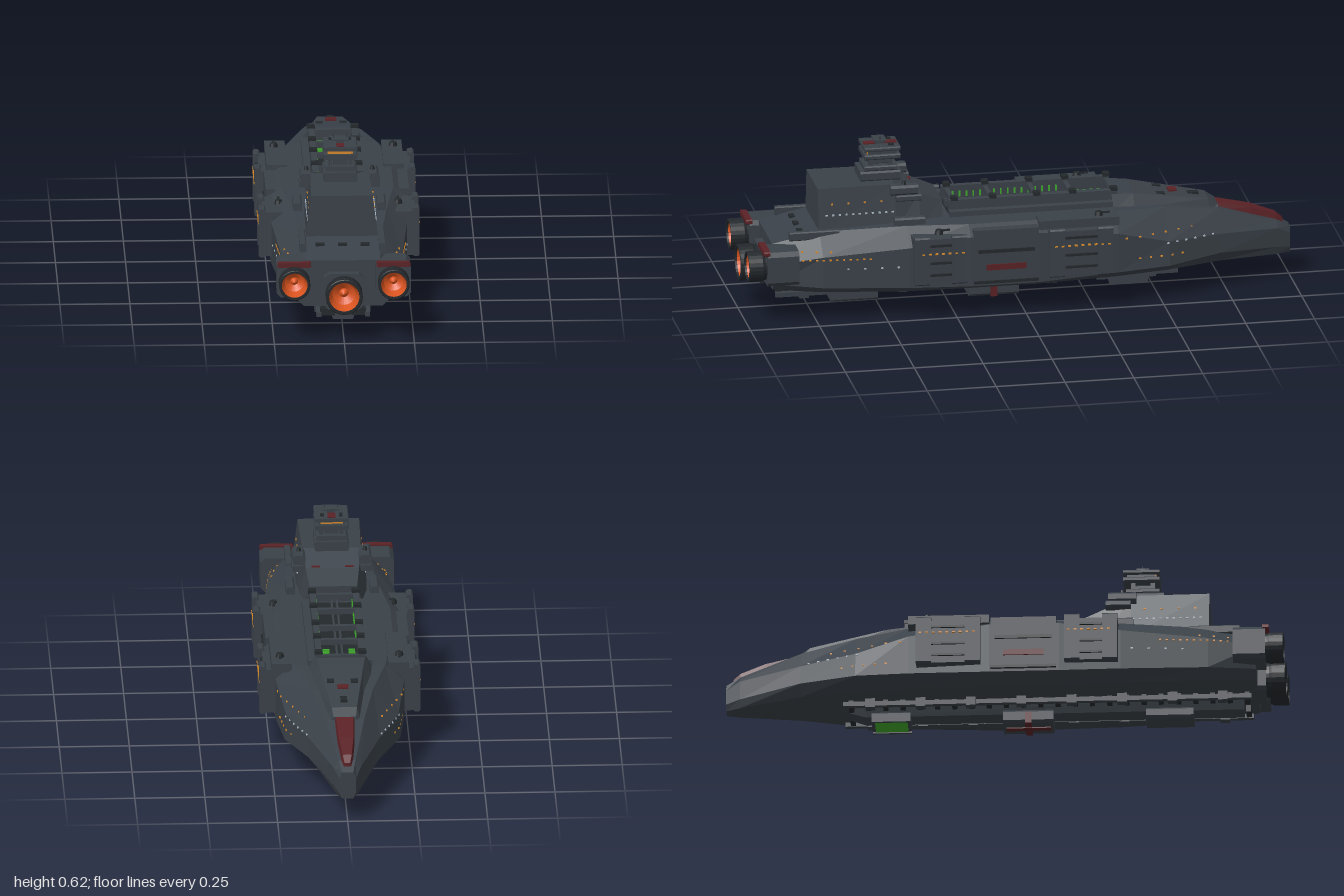
import * as THREE from 'three';

const mat = (name, color, side = THREE.FrontSide) =>
  Object.assign(new THREE.MeshStandardMaterial({ color, side, flatShading: true }), { name });

export function createModel() {
  const ship = new THREE.Group();
  ship.name = 'ship';
  const M = {
    hull: mat('hull grey', 0x3a4148),
    dark: mat('dark metal', 0x23282c, THREE.DoubleSide),
    red: mat('dull red', 0x5a2226),
    orange: mat('engine glow', 0xd9531f, THREE.DoubleSide),
    amber: mat('amber window', 0xd98a2b),
    pale: mat('pale window', 0xa9b8c4),
    green: mat('green light', 0x3fa82c),
  };

  const add = (name, geo, m, x = 0, y = 0, z = 0) => {
    const mesh = new THREE.Mesh(geo, m);
    mesh.name = name;
    mesh.position.set(x, y, z);
    ship.add(mesh);
    return mesh;
  };
  // box given by its limits on each axis
  const box = (name, m, x0, x1, y0, y1, z0, z1) =>
    add(name, new THREE.BoxGeometry(x1 - x0, y1 - y0, z1 - z0), m, (x0 + x1) / 2, (y0 + y1) / 2, (z0 + z1) / 2);
  const boxes = (name, m, x0, x1, ...r) => {
    box(name, m, x0, x1, ...r);
    box(name, m, -x1, -x0, ...r);
  };
  // mirrored sections [z, x,y, x,y ...] from high z to low z, right half listed bottom to top
  const loft = (name, m, sections, x = 0, y = 0, z = 0) => {
    const rings = sections.map(([sz, ...p]) => {
      const half = [];
      for (let i = 0; i < p.length; i += 2) half.push([p[i], p[i + 1], sz]);
      return [...half, ...half.slice().reverse().map(([a, b, c]) => [-a, b, c])];
    });
    const pos = [];
    const tri = (...pts) => pts.forEach(q => pos.push(...q));
    const n = rings[0].length, last = rings[rings.length - 1];
    for (let i = 0; i + 1 < rings.length; i++) for (let j = 0; j < n; j++) {
      const a = rings[i][j], b = rings[i][(j + 1) % n], c = rings[i + 1][(j + 1) % n], d = rings[i + 1][j];
      tri(a, d, c);
      tri(a, c, b);
    }
    for (let j = 1; j + 1 < n; j++) {
      tri(rings[0][0], rings[0][j], rings[0][j + 1]);
      tri(last[0], last[j + 1], last[j]);
    }
    const g = new THREE.BufferGeometry();
    g.setAttribute('position', new THREE.Float32BufferAttribute(pos, 3));
    g.computeVertexNormals();
    return add(name, g, m, x, y, z);
  };
  // block with chamfered long edges, centred on x, y
  const block = (name, m, x, y, w, h, c, z0, z1) => {
    const p = [w - c, -h, w, c - h, w, h - c, w - c, h];
    return loft(name, m, [[z1, ...p], [z0, ...p]], x, y);
  };

  // main hull: bottom edge, chine, shoulder, deck edge
  const hull = [
    [0.90, 0.14, 0.11, 0.17, 0.14, 0.19, 0.22, 0.13, 0.28],
    [0.73, 0.17, 0.10, 0.215, 0.13, 0.215, 0.245, 0.14, 0.318],
    [0.42, 0.19, 0.09, 0.242, 0.12, 0.242, 0.27, 0.17, 0.33],
    [0.20, 0.19, 0.088, 0.25, 0.115, 0.25, 0.30, 0.20, 0.333],
    [-0.05, 0.19, 0.088, 0.25, 0.115, 0.25, 0.30, 0.20, 0.333],
    [-0.34, 0.17, 0.09, 0.228, 0.125, 0.228, 0.27, 0.16, 0.333],
    [-0.53, 0.15, 0.095, 0.207, 0.13, 0.20, 0.22, 0.11, 0.32],
    [-0.73, 0.10, 0.10, 0.13, 0.14, 0.125, 0.21, 0.07, 0.285],
    [-0.95, 0.04, 0.09, 0.05, 0.12, 0.05, 0.19, 0.03, 0.215],
    [-1.00, 0.02, 0.088, 0.03, 0.11, 0.03, 0.165, 0.02, 0.188],
  ];
  loft('hull', M.hull, hull);
  // half width of the hull at a height and length
  const hullX = (y, z) => {
    const i = Math.max(0, hull.findIndex((s, k) => k < hull.length - 1 && hull[k + 1][0] <= z));
    const t = (hull[i][0] - z) / (hull[i][0] - hull[i + 1][0]);
    const s = hull[i].map((v, k) => v + (hull[i + 1][k] - v) * t);
    let k = 1;
    while (k < 5 && y > s[k + 3]) k += 2;
    return s[k] + (s[k + 2] - s[k]) * (y - s[k + 1]) / (s[k + 3] - s[k + 1]);
  };

  // nose crest and forward deck
  loft('noseCrest', M.red, [
    [-0.72, 0.04, 0.27, 0.032, 0.298], [-0.86, 0.032, 0.235, 0.026, 0.268],
    [-0.95, 0.024, 0.20, 0.016, 0.236], [-0.975, 0.016, 0.19, 0.01, 0.215]]);
  loft('foredeck', M.hull, [
    [-0.34, 0.12, 0.32, 0.09, 0.372], [-0.42, 0.11, 0.32, 0.08, 0.368], [-0.70, 0.065, 0.27, 0.045, 0.318], [-0.735, 0.06, 0.27, 0.04, 0.295]]);
  box('foredeckHatch', M.red, -0.02, 0.02, 0.344, 0.35, -0.59, -0.56);
  boxes('foredeckFitting', M.dark, 0.03, 0.055, 0.33, 0.352, -0.54, -0.51);
  box('foredeckSensor', M.dark, -0.012, 0.012, 0.31, 0.333, -0.67, -0.63);

  // open flight bay with side rails, beams and lights
  boxes('bayRail', M.hull, 0.066, 0.088, 0.333, 0.387, -0.36, 0.25);
  boxes('bayLedge', M.hull, 0.088, 0.115, 0.33, 0.352, -0.34, 0.25);
  box('bayFloor', M.dark, -0.066, 0.066, 0.332, 0.338, -0.34, 0.25);
  boxes('baySpine', M.hull, 0.006, 0.013, 0.338, 0.36, -0.36, 0.25);
  for (const z of [-0.35, -0.2, -0.07, 0.09, 0.23]) {
    box('bayBeam', M.hull, -0.07, 0.07, 0.36, 0.38, z - 0.008, z + 0.008);
    boxes('bayBracket', M.dark, 0.064, 0.092, 0.385, 0.398, z - 0.012, z + 0.012);
  }
  for (let i = 0; i < 5; i++)
    boxes('bayFloorLight', M.green, 0.034, 0.058, 0.338, 0.346, -0.323 + i * 0.025, -0.313 + i * 0.025);
  for (let i = 0; i < 16; i++)
    boxes('bayWallLight', M.green, 0.062, 0.067, 0.345, 0.366, -0.17 + i * 0.025, -0.164 + i * 0.025);

  // superstructure
  loft('superstructure', M.hull, [
    [0.73, 0.13, 0.30, 0.11, 0.468], [0.45, 0.13, 0.30, 0.105, 0.468],
    [0.36, 0.125, 0.30, 0.095, 0.425], [0.275, 0.11, 0.30, 0.085, 0.39]]);
  for (const s of [-1, 1]) {
    block('sideTurretUpper', M.hull, s * 0.118, 0.452, 0.022, 0.018, 0.008, 0.37, 0.47);
    block('sideTurretLower', M.hull, s * 0.122, 0.424, 0.022, 0.011, 0.004, 0.36, 0.45);
    add('sideTurretGun', new THREE.CylinderGeometry(0.006, 0.009, 0.014, 8), M.dark, s * 0.118, 0.476, 0.42);
    block('aftStrut', M.hull, s * 0.15, 0.335, 0.016, 0.022, 0.006, 0.35, 0.46);
    block('aftPipe', M.hull, s * 0.142, 0.308, 0.012, 0.016, 0.004, 0.66, 0.84);
  }
  boxes('frontMarking', M.red, 0.045, 0.075, 0.425, 0.431, 0.365, 0.373);

  // bridge tower
  block('towerBase', M.hull, 0, 0.485, 0.061, 0.018, 0.006, 0.42, 0.565);
  block('towerStep', M.hull, 0, 0.512, 0.055, 0.009, 0.004, 0.43, 0.55);
  block('towerNeck', M.hull, 0, 0.533, 0.025, 0.014, 0.004, 0.455, 0.53);
  for (const z of [0.455, 0.525]) boxes('towerColumn', M.hull, 0.03, 0.043, 0.52, 0.547, z - 0.008, z + 0.008);
  block('bridgeFloor', M.hull, 0, 0.556, 0.061, 0.009, 0.004, 0.42, 0.55);
  box('bridgeWindow', M.amber, -0.045, 0.045, 0.564, 0.58, 0.438, 0.538);
  boxes('bridgeWindowPost', M.hull, 0.04, 0.047, 0.564, 0.58, 0.432, 0.535);
  block('bridgeRoof', M.hull, 0, 0.585, 0.061, 0.007, 0.003, 0.42, 0.55);
  box('roofStripe', M.red, -0.014, 0.014, 0.591, 0.596, 0.425, 0.545);
  box('sensorNeck', M.hull, -0.014, 0.014, 0.59, 0.605, 0.47, 0.505);
  box('sensorBar', M.hull, -0.031, 0.031, 0.604, 0.61, 0.465, 0.51);
  boxes('antenna', M.dark, 0.021, 0.0235, 0.608, 0.622, 0.486, 0.489);
  boxes('roofPod', M.dark, 0.027, 0.04, 0.59, 0.598, 0.44, 0.46);

  // armour pods, decks above them and midship panels
  const pod = (z0, z1) => {
    boxes('podBlock', M.hull, 0.2, 0.272, 0.145, 0.308, z0, z1);
    for (const z of [z0, z1 - 0.055]) for (const s of [-1, 1])
      block('podPlate', M.hull, s * 0.275, 0.23, 0.012, 0.09, 0.005, z, z + 0.055);
    for (const y of [0.17, 0.215, 0.28]) boxes('podRib', M.dark, 0.27, 0.279, y, y + 0.008, z0 + 0.055, z1 - 0.055);
    for (let z = z0 + 0.01; z < z1 - 0.02; z += 0.024)
      boxes('podWindow', M.amber, 0.282, 0.289, 0.255, 0.26, z, z + 0.01);
  };
  pod(0.22, 0.41);
  pod(-0.31, -0.08);
  boxes('sideDeck', M.hull, 0.172, 0.245, 0.31, 0.342, -0.34, -0.05);
  for (const z of [-0.27, 0.31]) for (const s of [-1, 1]) {
    add('deckTurret', new THREE.CylinderGeometry(0.012, 0.016, 0.016, 8), M.dark, s * 0.213, z < 0 ? 0.348 : 0.316, z);
    boxes('turretBarrel', M.dark, 0.209, 0.217, z < 0 ? 0.349 : 0.318, z < 0 ? 0.354 : 0.324, z - 0.04, z);
  }
  boxes('midPanel', M.hull, 0.22, 0.256, 0.125, 0.325, -0.045, 0.19);
  boxes('midPanelRib', M.dark, 0.25, 0.262, 0.24, 0.252, -0.03, 0.175);
  boxes('midPanelSill', M.dark, 0.25, 0.262, 0.125, 0.135, -0.045, 0.19);
  boxes('midStripe', M.red, 0.254, 0.261, 0.175, 0.196, 0.0, 0.145);

  // engines: housing, shell, glowing bowl and cone
  const engine = (x, y, r, z0) => {
    const lathe = (name, m, pts) => {
      const mesh = add(name, new THREE.LatheGeometry(pts.map(p => new THREE.Vector2(p[0] * r, p[1])), 24), m, x, y, 1);
      mesh.rotation.x = Math.PI / 2;
    };
    lathe('engineShell', M.dark, [[0.85, z0 - 1], [0.93, -0.06], [1, -0.05], [1, -0.003], [0.96, 0], [0.83, 0], [0.82, -0.01]]);
    lathe('engineGlow', M.orange, [[0.83, -0.006], [0.62, -0.045], [0.25, -0.06], [0.2, -0.05], [0, -0.035]]);
  };
  for (const s of [-1, 1]) {
    block('engineHousing', M.hull, s * 0.177, 0.217, 0.062, 0.063, 0.015, 0.82, 0.935);
    block('engineCap', M.red, s * 0.177, 0.277, 0.06, 0.009, 0.004, 0.925, 0.948);
    engine(s * 0.177, 0.217, 0.056, 0.9);
  }
  block('centreHousing', M.hull, 0, 0.172, 0.07, 0.066, 0.015, 0.86, 0.93);
  engine(0, 0.172, 0.066, 0.9);
  for (const x of [-0.08, 0, 0.08]) box('aftVent', M.dark, x - 0.016, x + 0.016, 0.298, 0.31, 0.78, 0.8);

  // ventral keel with ribbed rails
  loft('keel', M.hull, [[0.85, 0.035, 0.045, 0.055, 0.095], [-0.5, 0.035, 0.045, 0.055, 0.1], [-0.56, 0.03, 0.065, 0.05, 0.1]]);
  boxes('keelRail', M.hull, 0.078, 0.096, 0.063, 0.08, -0.58, 0.88);
  for (let i = 0; i < 24; i++) {
    const z = -0.56 + i * 0.0615;
    boxes('keelRib', M.dark, 0.03, 0.082, 0.066, 0.092, z, z + 0.018);
  }
  for (let i = 0; i < 8; i++) boxes('keelClamp', M.hull, 0.07, 0.1, 0.056, 0.09, -0.5 + i * 0.18, -0.465 + i * 0.18);
  block('aftKeelPod', M.hull, 0, 0.035, 0.05, 0.02, 0.008, 0.5, 0.67);
  block('midKeelPod', M.hull, 0, 0.03, 0.054, 0.026, 0.01, -0.01, 0.17);
  box('midKeelBand', M.red, -0.056, 0.056, 0.002, 0.045, 0.068, 0.092);
  box('midKeelStripe', M.red, -0.012, 0.012, 0, 0.006, 0.0, 0.16);
  block('foreKeelPod', M.hull, 0, 0.04, 0.054, 0.016, 0.005, -0.48, -0.34);
  box('landingLight', M.green, -0.042, 0.042, 0.021, 0.026, -0.468, -0.352);
  boxes('landingFrame', M.hull, 0.044, 0.054, 0.018, 0.04, -0.48, -0.34);

  // window rows on the hull and superstructure
  const row = (y, z0, z1, step, m, xAt) => {
    for (let z = z0; z < z1; z += step) {
      const x = xAt(y, z);
      boxes('window', m, x - 0.004, x + 0.003, y - 0.0025, y + 0.0025, z - 0.004, z + 0.004);
    }
  };
  row(0.235, 0.56, 0.89, 0.024, M.amber, hullX);
  row(0.26, 0.70, 0.84, 0.05, M.amber, hullX);
  row(0.20, 0.46, 0.7, 0.06, M.pale, hullX);
  row(0.215, -0.7, -0.5, 0.035, M.pale, hullX);
  row(0.25, -0.62, -0.36, 0.05, M.amber, hullX);
  row(0.17, -0.58, -0.38, 0.04, M.amber, hullX);
  const towerX = y => 0.13 - (y - 0.3) * 0.13;
  row(0.37, 0.46, 0.71, 0.024, M.pale, towerX);
  row(0.41, 0.5, 0.71, 0.06, M.amber, towerX);
  return ship;
}
